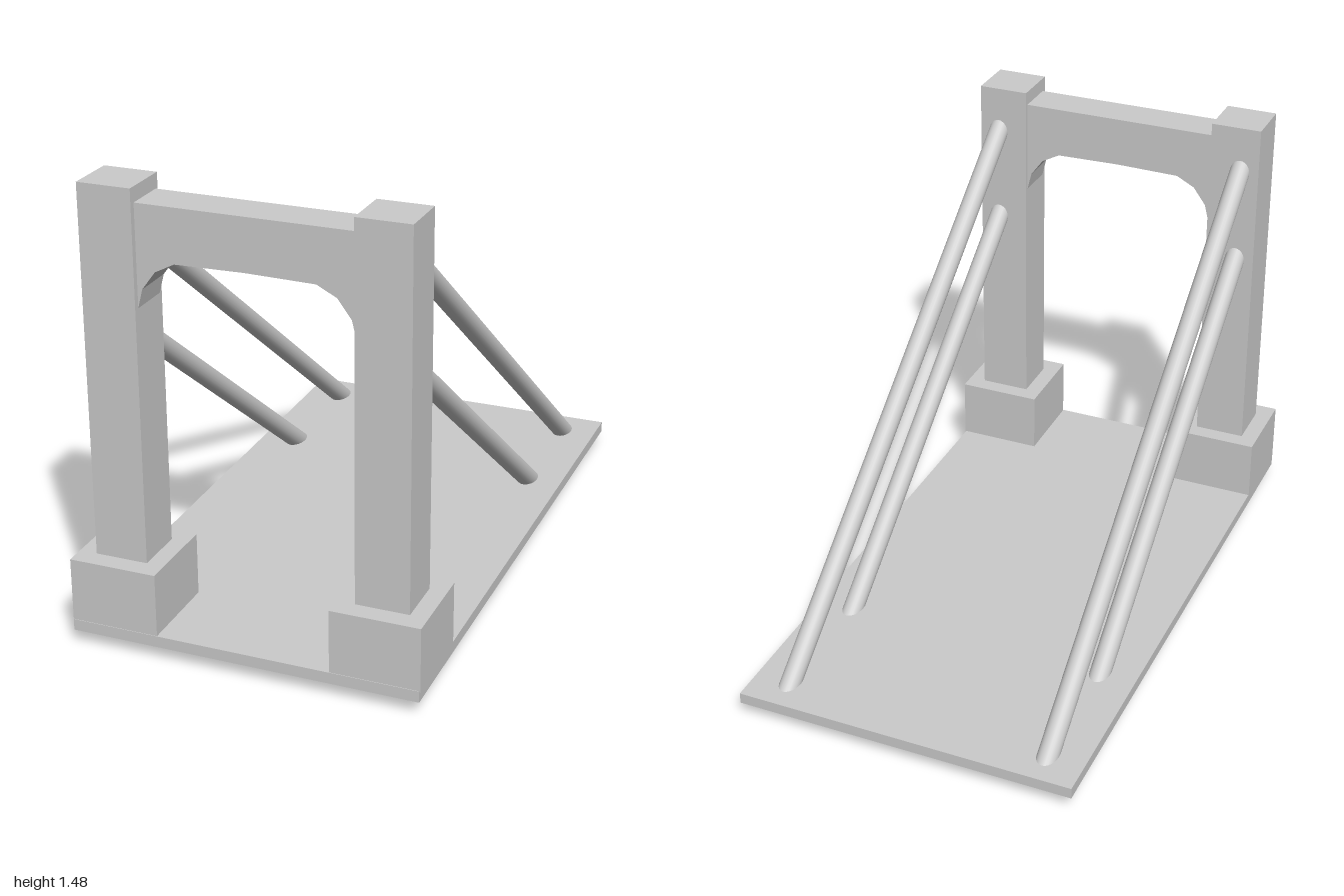
import * as THREE from 'three';

const material = new THREE.MeshStandardMaterial({ color: 0xcccccc });

function addMesh(parent, name, geometry) {
  const mesh = new THREE.Mesh(geometry, material);
  mesh.name = name;
  parent.add(mesh);
  return mesh;
}

// Box given by its limits on each axis
function addBox(parent, name, [x0, x1], [y0, y1], [z0, z1]) {
  const mesh = addMesh(parent, name, new THREE.BoxGeometry(x1 - x0, y1 - y0, z1 - z0));
  mesh.position.set((x0 + x1) / 2, (y0 + y1) / 2, (z0 + z1) / 2);
  return mesh;
}

// Round rod between two points
function addRod(parent, name, start, end, radius) {
  const axis = end.clone().sub(start);
  const mesh = addMesh(parent, name, new THREE.CylinderGeometry(radius, radius, axis.length(), 24));
  mesh.position.copy(start).add(end).multiplyScalar(0.5);
  mesh.quaternion.setFromUnitVectors(new THREE.Vector3(0, 1, 0), axis.normalize());
  return mesh;
}

export function createModel() {
  const model = new THREE.Group();
  model.name = 'bridgeTower';

  // Road deck
  addBox(model, 'deck', [-0.565, 0.563], [0.047, 0.084], [-1, 1]);

  // Towers with footings and two stay cables each
  for (const side of [-1, 1]) {
    const tower = new THREE.Group();
    tower.name = side > 0 ? 'leftTower' : 'rightTower';
    model.add(tower);

    const span = (inner, outer) => [side * inner, side * outer].sort((a, b) => a - b);
    addBox(tower, 'footing', span(0.281, 0.566), [0.08, 0.29], [0.71, 0.998]);
    addBox(tower, 'pillar', span(0.338, 0.509), [0.28, 1.477], [0.767, 0.935]);

    const x = side * 0.443;
    const cables = [
      ['upperCable', 1.318, -0.957],
      ['lowerCable', 0.992, -0.525],
    ];
    for (const [name, topY, footZ] of cables) {
      const foot = new THREE.Vector3(x, 0.028, footZ);
      const top = new THREE.Vector3(x, topY, 0.767);
      // Run the upper end a little way into the pillar
      top.add(top.clone().sub(foot).setLength(0.06));
      addRod(tower, name, foot, top, 0.034);
    }
  }

  // Cross beam with an arched underside
  const halfArch = [[0.338, 1.11], [0.323, 1.17], [0.28, 1.228], [0.218, 1.26]];
  const outline = [
    [-0.338, 1.43],
    ...halfArch.map(([x, y]) => [-x, y]),
    [0, 1.264],
    ...halfArch.slice().reverse(),
    [0.338, 1.43],
  ];
  const shape = new THREE.Shape(outline.map(([x, y]) => new THREE.Vector2(x, y)));
  const beam = addMesh(model, 'archBeam',
    new THREE.ExtrudeGeometry(shape, { depth: 0.137, bevelEnabled: false }));
  beam.position.z = 0.779;

  return model;
}
